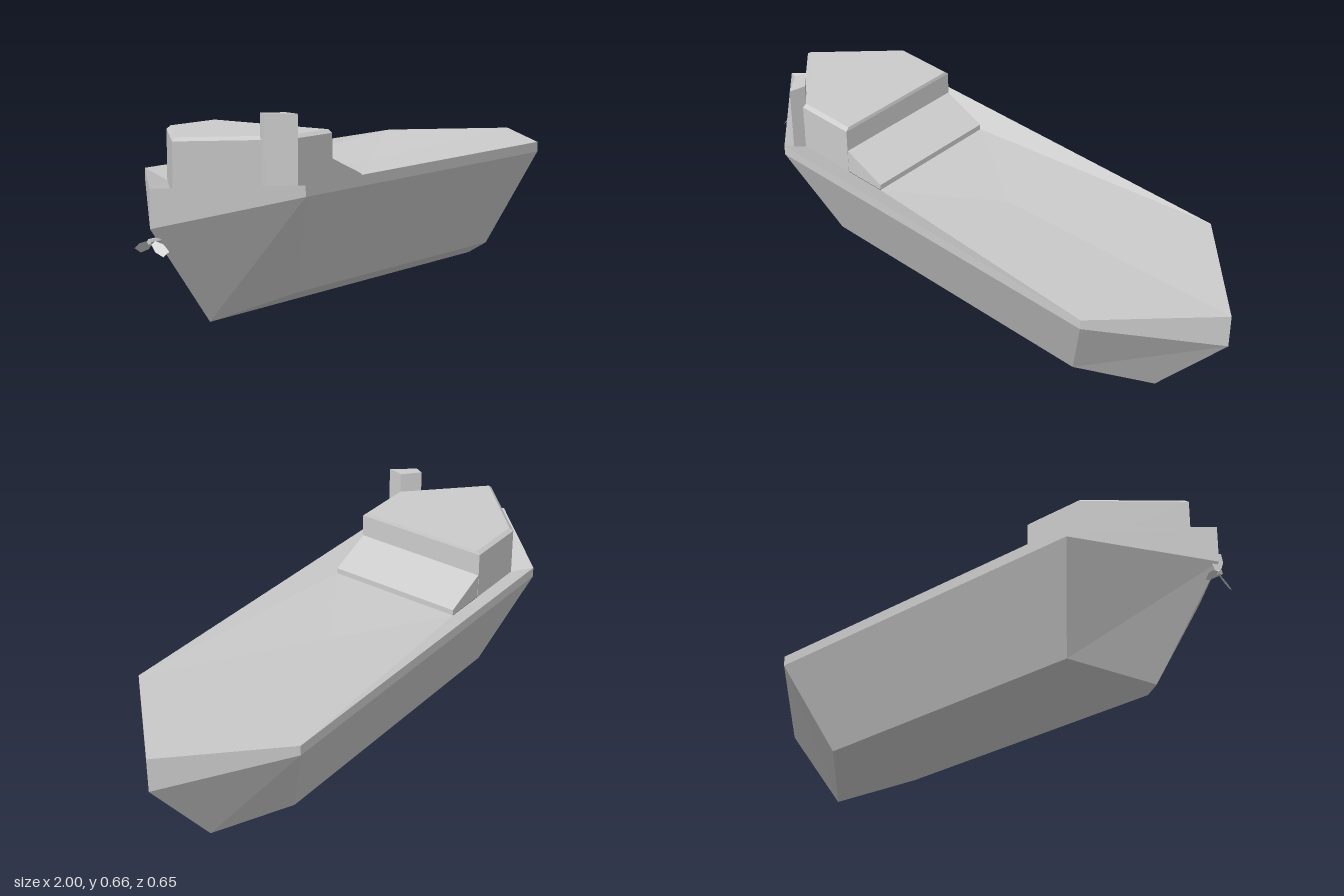
import * as THREE from 'three';

const grey = new THREE.MeshStandardMaterial({ color: 0xcccccc, flatShading: true });
const greyThin = new THREE.MeshStandardMaterial({ color: 0xcccccc, flatShading: true, side: THREE.DoubleSide });

function part(name, geometry, material = grey) {
  const mesh = new THREE.Mesh(geometry, material);
  mesh.name = name;
  return mesh;
}

// Flat polygons given for the +z half, mirrored to the -z half
function mirroredFaces(faces) {
  const pos = [];
  for (const face of faces) {
    const twin = face.map(([x, y, z]) => [x, y, -z]).reverse();
    for (const f of [face, twin]) {
      for (let i = 1; i < f.length - 1; i++) pos.push(...f[0], ...f[i], ...f[i + 1]);
    }
  }
  const g = new THREE.BufferGeometry();
  g.setAttribute('position', new THREE.Float32BufferAttribute(pos, 3));
  g.computeVertexNormals();
  return g;
}

// Quads between stacked outlines, each running stern to bow, lowest first
function skin(rows) {
  const faces = [];
  for (let r = 0; r < rows.length - 1; r++) {
    for (let i = 0; i < rows[r].length - 1; i++) {
      faces.push([rows[r][i], rows[r][i + 1], rows[r + 1][i + 1], rows[r + 1][i]]);
    }
  }
  return faces;
}

export function createModel() {
  const ship = new THREE.Group();
  ship.name = 'cargoShip';

  // Hull: V-shaped bottom, flaring sides, upright bulwark
  const bilge = [[-0.73, 0, 0], [-0.54, 0.085, 0.194], [0.545, 0.085, 0.194], [0.735, 0, 0]];
  const knuckle = [[-0.99, 0.325, 0], [-0.665, 0.41, 0.325], [0.675, 0.41, 0.325], [1, 0.325, 0]];
  const rim = knuckle.map(([x, , z]) => [x, 0.445, z]);
  const bottom = [bilge[0], bilge[3], bilge[2], bilge[1]];
  ship.add(part('hull', mirroredFaces([bottom, ...skin([bilge, knuckle, rim])])));

  // Deck: dips from the rim to the foot of the cabin
  const base = 0.41;
  const [stern, quarter, shoulder, bow] = rim;
  const footStern = [-0.89, base, 0];
  const footSide = [-0.648, base, 0.245];
  const footFront = [-0.275, base, 0.245];
  const footMid = [-0.275, base, 0];
  const middle = [0.085, base, 0];
  ship.add(part('deck', mirroredFaces([
    [footStern, stern, quarter, footSide],
    [footSide, quarter, footFront],
    [quarter, shoulder, footFront],
    [footFront, shoulder, middle],
    [middle, shoulder, bow],
    [footFront, middle, footMid],
  ])));

  // Cabin: wedge-shaped stern and a narrow bevel round the roof
  const wallFoot = [footStern, footSide, [-0.43, base, 0.245], [-0.43, base, 0]];
  const wallTop = wallFoot.map(([x, , z]) => [x, 0.574, z]);
  const roof = [[-0.874, 0.585, 0], [-0.642, 0.585, 0.232], [-0.433, 0.585, 0.232], [-0.433, 0.585, 0]];
  ship.add(part('cabin', mirroredFaces([...skin([wallFoot, wallTop, roof]), roof])));

  // Sloping hood in front of the cabin, with a small lip
  const hoodShape = new THREE.Shape([[-0.45, base], [-0.275, base], [-0.275, 0.43], [-0.43, 0.495], [-0.45, 0.495]]
    .map(([x, y]) => new THREE.Vector2(x, y)));
  const hood = new THREE.ExtrudeGeometry(hoodShape, { depth: 0.488, bevelEnabled: false });
  hood.translate(0, 0, -0.244);
  ship.add(part('foredeckHood', hood));

  // Funnel: slanted block beside the cabin on one side only
  const funnelShape = new THREE.Shape([[-0.715, 0.21], [-0.656, 0.289], [-0.643, 0.232], [-0.7, 0.18]]
    .map(([x, z]) => new THREE.Vector2(x, -z)));
  const funnel = new THREE.ExtrudeGeometry(funnelShape, { depth: 0.655 - base, bevelEnabled: false });
  funnel.rotateX(-Math.PI / 2).translate(0, base, 0);
  ship.add(part('funnel', funnel));

  // Propeller: short hub with three pitched blades
  const propeller = new THREE.Group();
  propeller.name = 'propeller';
  propeller.position.set(-0.984, 0.288, 0);
  const hub = new THREE.CylinderGeometry(0.009, 0.009, 0.045, 6);
  hub.rotateZ(Math.PI / 2).translate(0.012, 0, 0);
  propeller.add(part('propellerHub', hub));
  const bladeShape = new THREE.Shape([[-0.006, 0], [0.006, 0], [0.017, 0.035], [0.012, 0.066], [-0.012, 0.066], [-0.017, 0.035]]
    .map(([x, y]) => new THREE.Vector2(x, y)));
  for (let i = 0; i < 3; i++) {
    const blade = new THREE.ShapeGeometry(bladeShape);
    blade.rotateY(Math.PI / 4).rotateX(i * Math.PI * 2 / 3);
    propeller.add(part('propellerBlade', blade, greyThin));
  }
  ship.add(propeller);

  return ship;
}
